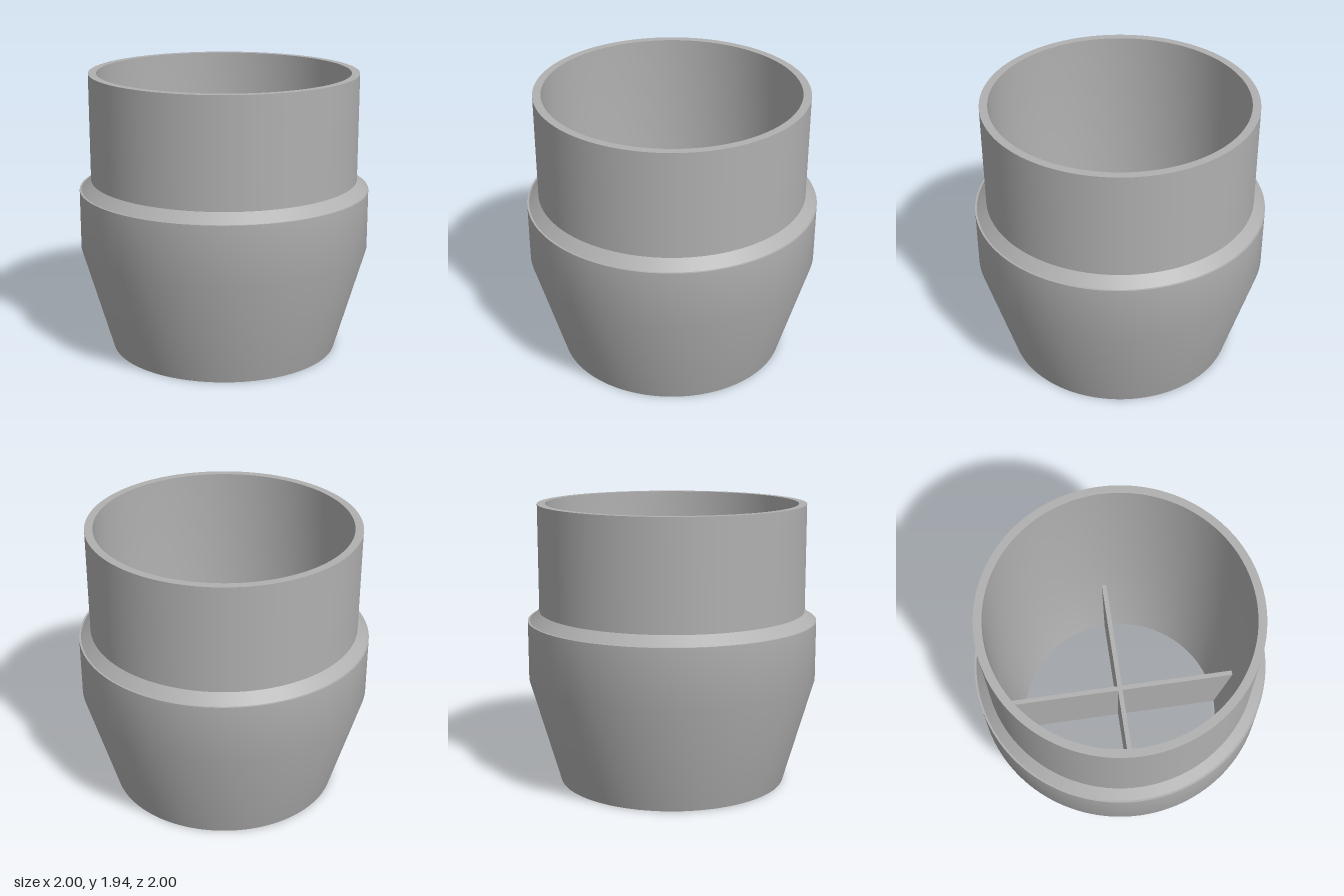
import * as THREE from 'three';
import { mergeGeometries } from 'three/addons/utils/BufferGeometryUtils.js';

const SIDES = 128;
const FIN_HEIGHT = 0.56;
const FIN_THICKNESS = 0.034;

// Revolves each smooth run of [radius, y] points separately, so joints between runs stay sharp
function revolve(runs) {
  return mergeGeometries(runs.map((run) =>
    new THREE.LatheGeometry(run.map(([r, y]) => new THREE.Vector2(r, y)), SIDES)));
}

export function createModel() {
  const model = new THREE.Group();
  model.name = 'pipeAdapter';

  const gray = new THREE.MeshStandardMaterial({ color: 0xb0b0b0 });
  gray.name = 'plain gray';

  const add = (name, geometry) => {
    const mesh = new THREE.Mesh(geometry, gray);
    mesh.name = name;
    model.add(mesh);
    return mesh;
  };

  // Tapered lower body with its shoulder and bottom rim
  add('taperedBody', revolve([
    [[0.735, 0], [0.79, 0]],
    [[0.79, 0], [1, 0.73], [1, 1.14]],
    [[1, 1.14], [0.987, 1.14]],
    [[0.987, 1.14], [0.92, 1.205]],
  ]));

  // Straight upper collar with its top rim
  add('collar', revolve([
    [[0.92, 1.205], [0.92, 1.94]],
    [[0.92, 1.94], [0.865, 1.94]],
  ]));

  // Bore, straight above and narrowing to the bottom opening
  add('bore', revolve([
    [[0.865, 1.94], [0.865, 0.73], [0.735, 0]],
  ]));

  // Two crossed fins that follow the taper of the bore
  const outline = new THREE.Shape([
    new THREE.Vector2(-0.735, 0),
    new THREE.Vector2(0.735, 0),
    new THREE.Vector2(0.835, FIN_HEIGHT),
    new THREE.Vector2(-0.835, FIN_HEIGHT),
  ]);
  const finGeometry = new THREE.ExtrudeGeometry(outline, { depth: FIN_THICKNESS, bevelEnabled: false });
  finGeometry.translate(0, 0, -FIN_THICKNESS / 2);
  ['crossFinSideways', 'crossFinLengthways'].forEach((name, i) => {
    add(name, finGeometry).rotation.y = i * Math.PI / 2;
  });

  return model;
}
